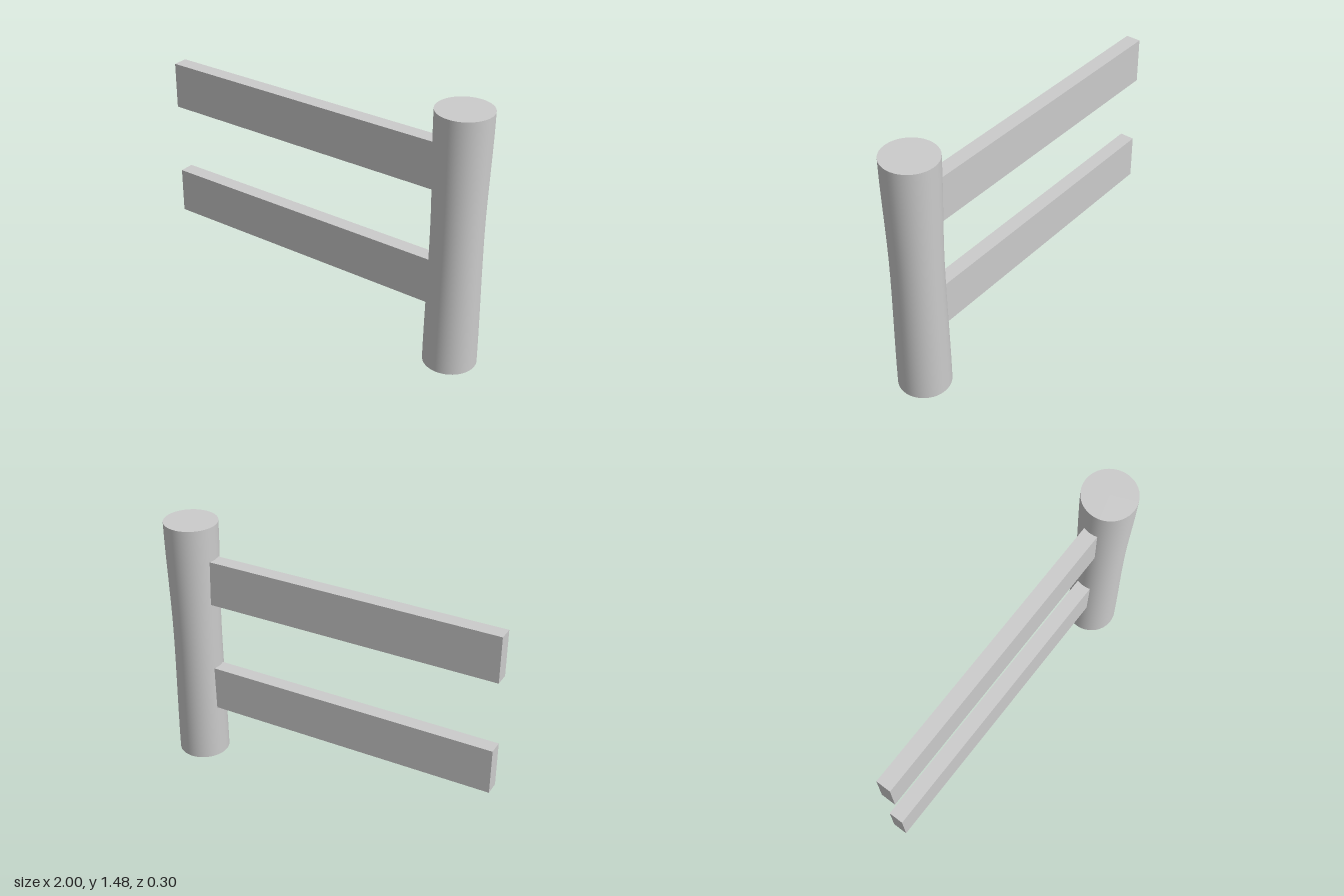
import * as THREE from 'three';

const material = new THREE.MeshStandardMaterial({ color: 0xcccccc });

function addMesh(group, name, geometry, x, y, z) {
  const mesh = new THREE.Mesh(geometry, material);
  mesh.name = name;
  mesh.position.set(x, y, z);
  group.add(mesh);
}

// Round post, slightly narrower at the waist, with flat ends
function postGeometry(height) {
  const geometry = new THREE.CylinderGeometry(1, 1, height, 48, 12);
  const position = geometry.attributes.position;
  const waist = 0.8, waistRadius = 0.138;
  for (let i = 0; i < position.count; i++) {
    const y = position.getY(i) + height / 2;
    const t = y > waist ? (y - waist) / (height - waist) : (waist - y) / waist;
    const endRadius = y > waist ? 0.151 : 0.147;
    const radius = THREE.MathUtils.lerp(waistRadius, endRadius, THREE.MathUtils.smoothstep(t, 0, 1));
    position.setX(i, position.getX(i) * radius);
    position.setZ(i, position.getZ(i) * radius);
  }
  return geometry;
}

export function createModel() {
  const group = new THREE.Group();
  group.name = 'fenceSection';

  const height = 1.475, postX = 0.847;
  addMesh(group, 'post', postGeometry(height), postX, height / 2, 0);

  // Two flat rails running from the free end into the post
  const railStart = -1, railEnd = 0.76;
  const rails = { lowerRail: 0.463, upperRail: 1.142 };
  for (const [name, y] of Object.entries(rails)) {
    const rail = new THREE.BoxGeometry(railEnd - railStart, 0.265, 0.085);
    addMesh(group, name, rail, (railStart + railEnd) / 2, y, -0.002);
  }
  return group;
}
